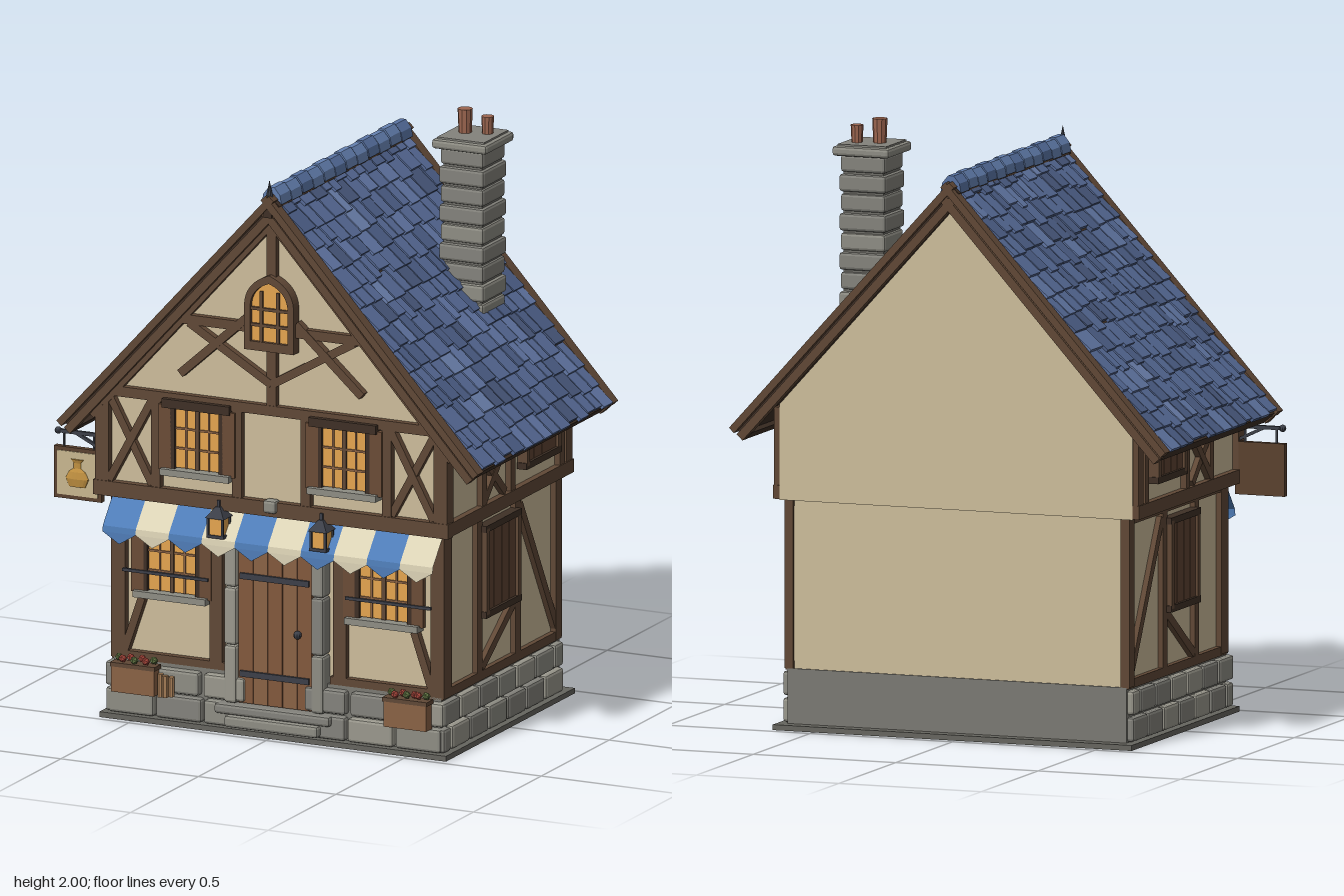
import * as THREE from 'three';
import { mergeGeometries } from 'three/addons/utils/BufferGeometryUtils.js';
import { RoundedBoxGeometry } from 'three/addons/geometries/RoundedBoxGeometry.js';

const TIMBER = 0x604836, DARK = 0x3f3026, PLASTER = 0xcdbd9b, WOOD = 0x8a6245, AMBER = 0xe5a550,
  IRON = 0x3c3f48, STONE = [0x8e8d84, 0x9a988d, 0x84837c], TILES = [0x566a96, 0x4c5e86, 0x6176a4, 0x48587c, 0x6b80ad];
const mats = {};
const mat = (c) => (mats[c] ??= new THREE.MeshStandardMaterial({ color: c, flatShading: true, side: THREE.DoubleSide }));
let seed = 7;
const rnd = () => (seed = (seed * 16807) % 2147483647) / 2147483647;

function add(parent, name, geo, color, x = 0, y = 0, z = 0) {
  const m = new THREE.Mesh(geo, mat(color));
  m.name = name;
  m.position.set(x, y, z);
  parent.add(m);
  return m;
}
const box = (p, name, c, w, h, d, x, y, z) => add(p, name, new THREE.BoxGeometry(w, h, d), c, x, y, z);
const stone = (p, name, w, h, d, x, y, z) =>
  add(p, name, new RoundedBoxGeometry(w, h, d, 1, 0.01), STONE[Math.floor(rnd() * 3)], x, y, z);
// timber of width w lying on a wall plane from (x0,y0) to (x1,y1)
function beam(p, name, x0, y0, x1, y1, w, z, d = 0.03, c = TIMBER) {
  const m = box(p, name, c, Math.hypot(x1 - x0, y1 - y0), w, d, (x0 + x1) / 2, (y0 + y1) / 2, z);
  m.rotation.z = Math.atan2(y1 - y0, x1 - x0);
  return m;
}
function group(parent, name) {
  const g = new THREE.Group();
  g.name = name;
  parent.add(g);
  return g;
}

// lit window with muntins, shutters, lintel and stone sill
function litWindow(parent, x, y, w, h, z) {
  const g = group(parent, 'window');
  g.position.set(x, y, z);
  box(g, 'pane', AMBER, w, h, 0.02, 0, 0, 0);
  box(g, 'muntin', TIMBER, 0.014, h, 0.012, 0, 0, 0.012);
  for (const s of [-1, 1]) {
    box(g, 'muntin', WOOD, 0.006, h, 0.01, s * w / 4, 0, 0.01);
    box(g, 'muntin', WOOD, w, 0.007, 0.01, 0, s * h / 6, 0.01);
    box(g, 'frame', DARK, 0.016, h + 0.02, 0.034, s * (w / 2 + 0.005), 0, 0.005);
    box(g, 'shutter', 0x6b4c36, 0.045, h + 0.02, 0.02, s * (w / 2 + 0.033), 0, 0.012);
  }
  box(g, 'lintel', DARK, w + 0.08, 0.03, 0.04, 0, h / 2 + 0.017, 0.012);
  box(g, 'sill', STONE[0], w + 0.085, 0.022, 0.05, 0, -h / 2 - 0.014, 0.015);
}

// closed boarded window for the side walls
function shutteredWindow(parent, u, y, w, h, z) {
  const g = group(parent, 'shutteredWindow');
  g.position.set(u, y, z);
  for (let i = 0; i < 4; i++) box(g, 'board', 0x5f4432, w / 4 - 0.003, h, 0.02, (i - 1.5) * w / 4, 0, 0.01);
  for (const s of [-1, 1]) {
    box(g, 'frame', DARK, w + 0.03, 0.022, 0.035, 0, s * h / 2, 0.012);
    box(g, 'frame', TIMBER, 0.022, h, 0.035, s * w / 2, 0, 0.012);
  }
}

function buildBase(g) {
  box(g, 'groundSlab', 0x66655f, 1.26, 0.018, 0.95, 0, 0.009, 0.002);
  box(g, 'foundation', 0x7b7a73, 1.19, 0.19, 0.87, 0, 0.105, 0.005);
  for (let r = 0; r < 2; r++) {
    const y = 0.06 + r * 0.088;
    for (let i = 0; i < 7; i++) {
      const x = (i - 3) * 0.174 + (r ? Math.sign(i - 3) * 0.01 : 0);
      if (!r || Math.abs(i - 3) > 0.5) stone(g, 'plinthStone', r && Math.abs(i - 3) === 1 ? 0.15 : 0.166, 0.08, 0.05, x, y, 0.443);
    }
    for (const s of [-1, 1]) for (let i = 0; i < 7; i++) {
      const z0 = Math.max(-0.425, -0.425 + (i - r * 0.5) * 0.138), z1 = Math.min(0.465, -0.425 + (i + 1 - r * 0.5) * 0.138);
      stone(g, 'plinthStone', 0.05, 0.08, z1 - z0 - 0.008, s * 0.592, y, (z0 + z1) / 2);
    }
  }
  stone(g, 'upperStep', 0.42, 0.035, 0.06, 0, 0.083, 0.457);
  stone(g, 'lowerStep', 0.34, 0.04, 0.06, 0, 0.045, 0.465);
}

function buildWalls(g) {
  box(g, 'lowerWalls', PLASTER, 1.17, 0.58, 0.84, 0, 0.48, -0.005);
  const s = new THREE.Shape([[-0.62, 0.755], [0.62, 0.755], [0.62, 1.07], [0, 1.755], [-0.62, 1.07]].map((p) => new THREE.Vector2(...p)));
  add(g, 'upperWalls', new THREE.ExtrudeGeometry(s, { depth: 0.905, bevelEnabled: false }), PLASTER, 0, 0, -0.44);
}

function buildFrontTimbers(g) {
  const t = group(g, 'frontTimbers'), lo = 0.425, up = 0.474;
  beam(t, 'floorBeam', -0.645, 0.78, 0.645, 0.78, 0.05, up, 0.036);
  beam(t, 'tieBeam', -0.64, 1.112, 0.64, 1.112, 0.034, up);
  beam(t, 'lowerTopRail', -0.6, 0.752, 0.6, 0.752, 0.03, lo);
  beam(t, 'kingPost', 0, 1.12, 0, 1.76, 0.034, up, 0.026);
  beam(t, 'collarBeam', -0.38, 1.385, 0.38, 1.385, 0.032, up);
  stone(t, 'keyBlock', 0.048, 0.045, 0.04, 0, 0.79, 0.485);
  for (const m of [-1, 1]) {
    beam(t, 'gableRafter', m * 0.66, 1.025, 0, 1.755, 0.04, up);
    beam(t, 'gableBrace', m * 0.33, 1.2, m * 0.09, 1.415, 0.028, up + 0.003);
    beam(t, 'gableBrace', m * 0.3, 1.375, 0, 1.2, 0.028, up);
    beam(t, 'cornerPost', m * 0.615, 0.76, m * 0.615, 1.08, 0.05, up);
    for (const x of [0.42, 0.125]) beam(t, 'stud', m * x, 0.8, m * x, 1.1, 0.034, up);
    beam(t, 'crossBrace', m * 0.59, 0.81, m * 0.435, 1.095, 0.026, up);
    beam(t, 'crossBrace', m * 0.59, 1.095, m * 0.435, 0.81, 0.026, up - 0.003);
    beam(t, 'lowerCornerPost', m * 0.58, 0.2, m * 0.58, 0.76, 0.05, lo);
    beam(t, 'lowerStud', m * 0.225, 0.2, m * 0.225, 0.75, 0.046, lo);
    beam(t, 'sillBeam', m * 0.19, 0.21, m * 0.6, 0.21, 0.032, lo);
    beam(t, 'lowerBrace', m * 0.56, 0.22, m * 0.495, 0.41, 0.026, lo);
    beam(t, 'windowRail', m * 0.25, 0.5, m * 0.56, 0.5, 0.01, lo + 0.02, 0.01, IRON);
    litWindow(t, m * 0.267, 0.98, 0.165, 0.2, 0.475);
    litWindow(t, m * 0.385, 0.54, 0.18, 0.2, 0.422);
  }
}

// arched attic window
function buildAtticWindow(g) {
  const a = group(g, 'atticWindow');
  const arch = (C, w, y0, y1) => {
    const s = new C();
    s.moveTo(-w, y0); s.lineTo(w, y0); s.lineTo(w, y1);
    s.quadraticCurveTo(w, y1 + w * 0.9, 0, y1 + w * 1.25);
    s.quadraticCurveTo(-w, y1 + w * 0.9, -w, y1);
    return s;
  };
  const frame = arch(THREE.Shape, 0.09, 1.315, 1.46);
  frame.holes.push(arch(THREE.Path, 0.068, 1.345, 1.46));
  add(a, 'frame', new THREE.ExtrudeGeometry(frame, { depth: 0.045, bevelEnabled: false }), TIMBER, 0, 0, 0.46);
  add(a, 'pane', new THREE.ExtrudeGeometry(arch(THREE.Shape, 0.07, 1.34, 1.46), { depth: 0.02, bevelEnabled: false }), AMBER, 0, 0, 0.472);
  for (const x of [-0.03, 0.03]) box(a, 'muntin', TIMBER, 0.01, 0.17, 0.012, x, 1.43, 0.495);
  for (const y of [1.4, 1.455]) box(a, 'muntin', TIMBER, 0.136, 0.01, 0.012, 0, y, 0.495);
}

// side wall timbers: u runs along the wall, so u = -s * z
function buildSide(g, s) {
  const t = group(g, s > 0 ? 'leftSideTimbers' : 'rightSideTimbers');
  t.rotation.y = s * Math.PI / 2;
  const b = (name, z0, y0, z1, y1, w, off) => beam(t, name, -s * z0, y0, -s * z1, y1, w, off);
  const lo = 0.588, up = 0.625;
  b('floorBeam', 0.488, 0.78, -0.44, 0.78, 0.045, up + 0.003);
  b('lowerTopRail', 0.44, 0.75, -0.43, 0.75, 0.03, lo);
  b('sillBeam', 0.44, 0.21, -0.43, 0.21, 0.03, lo);
  b('frontPost', 0.41, 0.2, 0.41, 0.76, 0.06, lo + 0.002);
  b('backPost', -0.408, 0.2, -0.408, 0.76, 0.046, lo + 0.002);
  b('stud', 0.17, 0.2, 0.17, 0.75, 0.036, lo);
  b('stud', -0.11, 0.2, -0.11, 0.75, 0.04, lo);
  b('lowerBrace', 0.15, 0.235, -0.09, 0.4, 0.03, lo);
  b('longBrace', -0.13, 0.72, -0.4, 0.24, 0.03, lo);
  shutteredWindow(t, -s * 0.03, 0.56, 0.23, 0.29, 0.592);
  b('upperFrontPost', 0.465, 0.76, 0.465, 1.06, 0.05, up);
  b('upperBackPost', -0.415, 0.76, -0.415, 1.06, 0.045, up);
  for (const z of [0.21, 0.0, -0.36]) b('upperStud', z, 0.8, z, 1.06, 0.032, up);
  b('upperBrace', 0.21, 0.81, 0.03, 0.99, 0.028, up);
  b('upperBrace', 0.24, 0.99, 0.05, 0.81, 0.028, up - 0.002);
  shutteredWindow(t, s * 0.185, 0.96, 0.23, 0.18, 0.632);
}

function buildDoor(g) {
  const d = group(g, 'door');
  for (let i = 0; i < 5; i++) box(d, 'plank', i % 2 ? WOOD : 0x83593d, 0.051, 0.56, 0.03, (i - 2) * 0.0535, 0.385, 0.443);
  box(d, 'backing', DARK, 0.268, 0.56, 0.015, 0, 0.385, 0.435);
  for (const y of [0.205, 0.535]) box(d, 'strap', IRON, 0.25, 0.02, 0.01, 0, y, 0.462);
  add(d, 'knob', new THREE.SphereGeometry(0.014, 10, 8), IRON, 0.086, 0.36, 0.468);
  for (const m of [-1, 1]) for (let i = 0; i < 3; i++) stone(d, 'jambStone', 0.046, 0.195, 0.06, m * 0.158, 0.2 + i * 0.196, 0.443);
  stone(d, 'doorLintel', 0.36, 0.06, 0.05, 0, 0.69, 0.435);
}

function buildAwning(g) {
  const a = group(g, 'awning'), w = 0.12;
  for (let i = 0; i < 10; i++) {
    const x0 = -0.6 + i * w, x1 = x0 + w;
    const geo = new THREE.BufferGeometry();
    geo.setAttribute('position', new THREE.Float32BufferAttribute([x0, 0.745, 0.44, x1, 0.745, 0.44, x0, 0.66, 0.512, x1, 0.66, 0.512,
      x0, 0.64, 0.514, x1, 0.64, 0.514, (x0 + x1) / 2, 0.603, 0.514], 3));
    geo.setIndex([0, 2, 1, 1, 2, 3, 2, 4, 3, 3, 4, 5, 4, 6, 5]);
    geo.computeVertexNormals();
    add(a, 'awningStripe', geo, i % 2 ? 0xdcd3b6 : 0x4f7db8);
  }
  for (const m of [-1, 1]) {
    const l = group(g, 'lantern');
    l.position.set(m * 0.187, 0.705, 0.494);
    box(l, 'lampGlass', AMBER, 0.05, 0.056, 0.05, 0, 0, 0);
    for (const s of [-1, 1]) for (const t of [-1, 1]) box(l, 'lampBar', IRON, 0.008, 0.06, 0.008, s * 0.026, 0, t * 0.026);
    box(l, 'lampBase', IRON, 0.062, 0.01, 0.06, 0, -0.033, 0);
    add(l, 'lampCap', new THREE.CylinderGeometry(0.012, 0.048, 0.035, 4).rotateY(Math.PI / 4), IRON, 0, 0.046, 0);
    box(l, 'lampHook', IRON, 0.01, 0.03, 0.01, 0, 0.07, 0);
  }
}

function buildRoof(g) {
  const A = Math.atan2(0.85, 0.772), L = 1.148, rows = 14, step = L / rows;
  for (const s of [1, -1]) {
    const turn = group(g, s > 0 ? 'leftRoofSlope' : 'rightRoofSlope');
    turn.position.y = 1.85;
    turn.rotation.y = s > 0 ? 0 : Math.PI;
    const r = group(turn, 'slope');
    r.rotation.z = -A;
    box(r, 'roofDeck', DARK, L - 0.02, 0.03, 0.95, L / 2, -0.04, 0);
    // overlapping tiles, merged by shade
    const shades = TILES.map(() => []);
    for (let i = 0; i < rows; i++) {
      let z = -0.475;
      while (z < 0.47) {
        let w = 0.045 + rnd() * 0.04;
        if (0.472 - z - w < 0.035) w = 0.472 - z;
        const low = Math.min(L, (i + 1) * step + (rnd() - 0.5) * 0.03), len = Math.min(low, 0.105);
        const t = new THREE.BoxGeometry(len, 0.013, w - 0.006).rotateZ(0.13).translate(low - len / 2, -0.014, z + w / 2);
        shades[Math.floor(rnd() * rnd() * 4.99)].push(t);
        z += w;
      }
    }
    shades.forEach((list, i) => list.length && add(r, 'roofTiles', mergeGeometries(list), TILES[i]));
    // verge boards front and back, eave fascia
    for (const m of [-1, 1]) {
      box(r, 'vergeTrim', TIMBER, L, 0.024, 0.044, L / 2, -0.02, m * 0.496);
      box(r, 'vergeBacking', DARK, L - 0.02, 0.03, 0.02, L / 2, -0.038, m * 0.484);
      box(r, 'vergeBoard', TIMBER, L - 0.03, 0.028, 0.036, L / 2 + 0.015, -0.054, m * 0.492);
    }
    box(r, 'eaveFascia', DARK, 0.03, 0.05, 0.98, L - 0.02, -0.045, 0);
  }
  // ridge caps and finial
  const v = new THREE.Shape([[-0.036, 1.808], [-0.03, 1.838], [-0.01, 1.863], [0.01, 1.863], [0.03, 1.838], [0.036, 1.808], [0, 1.842]].map((p) => new THREE.Vector2(...p)));
  for (let i = 0; i < 12; i++)
    add(g, 'ridgeCap', new THREE.ExtrudeGeometry(v, { depth: 0.076, bevelEnabled: false }), i % 3 ? 0x6480b0 : 0x5872a2, 0, i % 2 * 0.004, -0.485 + i * 0.0812);
  add(g, 'finial', new THREE.ConeGeometry(0.018, 0.08, 8), IRON, 0, 1.855, 0.5);
  box(g, 'finialBlock', DARK, 0.03, 0.06, 0.03, 0, 1.8, 0.5);
}

function buildChimney(g) {
  const c = group(g, 'chimney');
  c.position.set(0.378, 0, -0.232);
  box(c, 'chimneyCore', 0x6f6e68, 0.14, 0.66, 0.15, 0, 1.55, 0);
  for (let i = 0; i < 10; i++) {
    const k = i % 2 * 0.008;
    stone(c, 'chimneyCourse', 0.165 - k, 0.058, 0.175 - k, 0, 1.276 + i * 0.0645, 0);
  }
  stone(c, 'chimneyCap', 0.2, 0.032, 0.21, 0, 1.898, 0);
  box(c, 'capTop', STONE[2], 0.17, 0.012, 0.18, 0, 1.914, 0);
  for (const [x, z, r, h] of [[-0.03, -0.005, 0.025, 0.09], [0.042, 0.02 - 0.045, 0.021, 0.068]])
    add(c, 'chimneyPot', new THREE.CylinderGeometry(r, r * 0.85, h, 10), 0x9c6650, x, 1.91 + h / 2, z);
}

function buildSign(g) {
  const s = group(g, 'hangingSign');
  s.position.set(-0.714, 0.808, 0.455);
  box(s, 'signFrame', 0x5a412f, 0.174, 0.174, 0.022, 0, 0, 0);
  box(s, 'signPanel', 0xc8b78f, 0.148, 0.148, 0.008, 0, 0, 0.01);
  const flask = [[0, -0.045], [0.03, -0.042], [0.042, -0.015], [0.03, 0.008], [0.013, 0.02], [0.013, 0.038], [0.024, 0.05], [0, 0.05]];
  add(s, 'signFlask', new THREE.LatheGeometry(flask.map((p) => new THREE.Vector2(...p)), 16), 0xc09040, 0, 0, 0.014).scale.z = 0.3;
  beam(s, 'bracketBar', -0.07, 0.137, 0.1, 0.137, 0.012, 0, 0.012, IRON);
  beam(s, 'bracketStrut', -0.01, 0.135, 0.085, 0.09, 0.01, 0, 0.01, IRON);
  add(s, 'bracketBall', new THREE.SphereGeometry(0.012, 10, 8), IRON, -0.076, 0.137, 0);
  for (const x of [-0.055, 0.055]) box(s, 'hanger', IRON, 0.006, 0.05, 0.006, x, 0.11, 0);
}

function buildPlanters(g) {
  for (const m of [-1, 1]) {
    const p = group(g, 'flowerBox');
    p.position.set(m * 0.495, 0.148, 0.484);
    box(p, 'planter', WOOD, 0.155, 0.095, 0.045, 0, 0, 0);
    box(p, 'planterRim', TIMBER, 0.162, 0.014, 0.05, 0, 0.045, 0);
    for (let i = 0; i < 7; i++)
      add(p, 'flower', new THREE.IcosahedronGeometry(0.014, 0), i % 3 ? 0xa8473c : 0x5d7040, (i - 3) * 0.021, 0.06 + rnd() * 0.008, (i % 2 - 0.5) * 0.018);
  }
  for (let i = 0; i < 3; i++)
    add(g, 'firewoodLog', new THREE.CylinderGeometry(0.011, 0.011, 0.078 - i * 0.006, 8), 0xa87f58, -0.405 + i * 0.02, 0.135, 0.482 + i % 2 * 0.006);
}

export function createModel() {
  const root = new THREE.Group();
  root.name = 'timberFramedHouse';
  const g = group(root, 'house');
  g.position.x = 0.012;
  buildBase(g);
  buildWalls(g);
  buildFrontTimbers(g);
  buildAtticWindow(g);
  for (const s of [-1, 1]) buildSide(g, s);
  buildDoor(g);
  buildAwning(g);
  buildRoof(g);
  buildChimney(g);
  buildSign(g);
  buildPlanters(g);
  return root;
}
